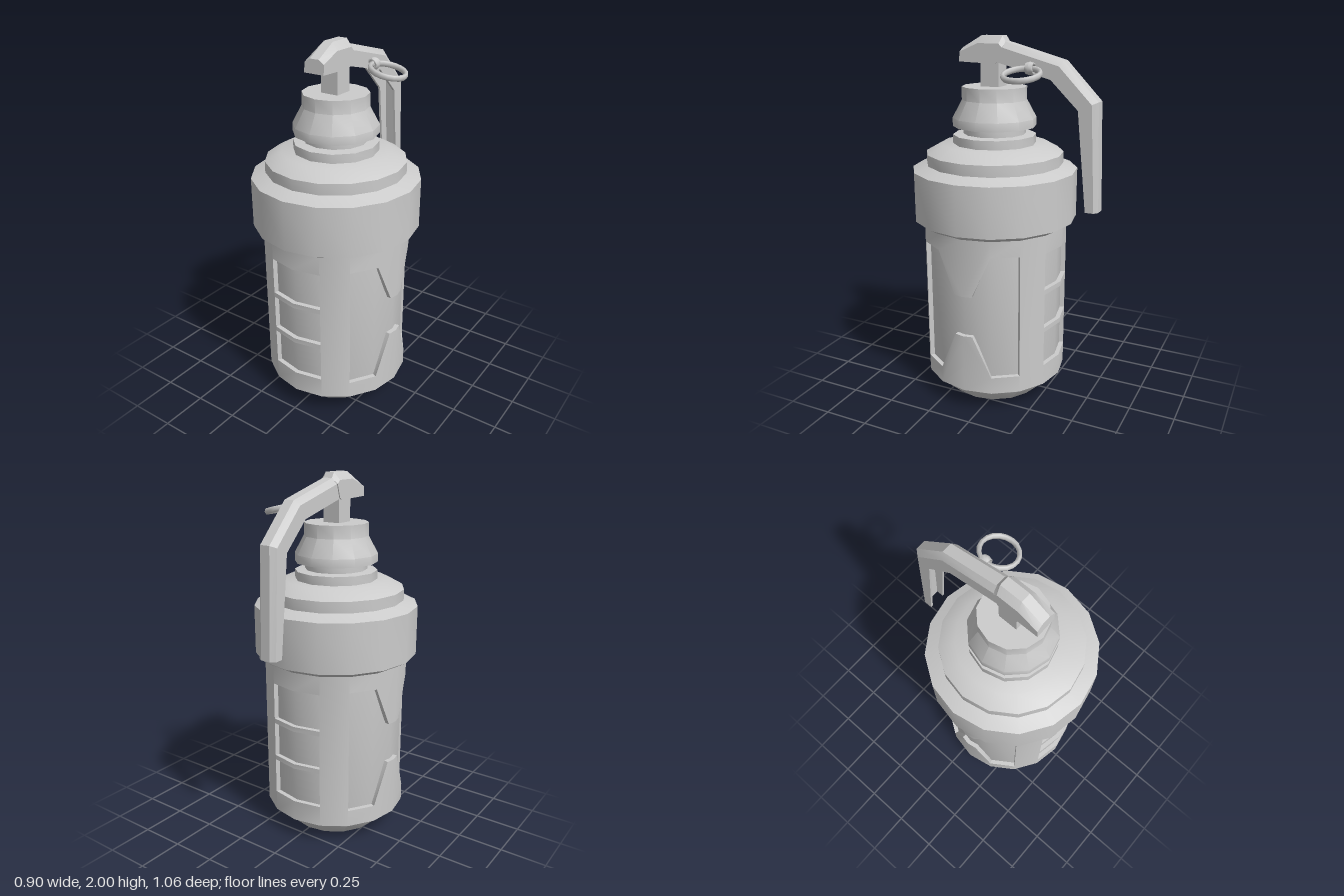
import * as THREE from 'three';
import { mergeGeometries, toCreasedNormals } from 'three/addons/utils/BufferGeometryUtils.js';

const SIDES = 16;
const STEP = (Math.PI * 2) / SIDES;
const AXIS_Z = 0.08;

const material = new THREE.MeshStandardMaterial({ color: 0xcccccc });

function addMesh(parent, name, geometry, crease = 0.62) {
  const mesh = new THREE.Mesh(crease ? toCreasedNormals(geometry, crease) : geometry, material);
  mesh.name = name;
  parent.add(mesh);
  return mesh;
}

function lathe(profile, sides) {
  return new THREE.LatheGeometry(profile.map(([r, y]) => new THREE.Vector2(r, y)), sides);
}

// Bends a flat panel (angle in facet units, height) onto one facet of the body
function wrapPanel(points, facet, inner, outer) {
  const shape = new THREE.Shape(points.map(([u, y]) => new THREE.Vector2(u, y)));
  const geometry = new THREE.ExtrudeGeometry(shape, { depth: 1, bevelEnabled: false });
  const pos = geometry.attributes.position;
  for (let i = 0; i < pos.count; i++) {
    const a = pos.getX(i) * STEP;
    const chord = Math.cos(STEP / 2) / Math.cos(a - (facet + 0.5) * STEP);
    const r = (inner + (outer - inner) * pos.getZ(i)) * chord;
    pos.setXYZ(i, r * Math.sin(a), pos.getY(i), r * Math.cos(a));
  }
  return geometry;
}

// Sleeve: three windows at front and back, a notched window on each side
function sleeveGeometry() {
  const low = 0.12, high = 1.0;
  const rect = (u, y0, y1) => [[u, y0], [u + 1, y0], [u + 1, y1], [u, y1]];
  const quarter = [
    ...[[low, 0.237], [0.44, 0.467], [0.662, 0.69], [0.897, high]].map(([a, b]) => rect(0, a, b)),
    rect(1, low, high),
    rect(2, low, 0.215), rect(2, 0.91, high),
    [[3, low], [4, low], [4, 0.45], [3.67, 0.45], [3, 0.215]],
    [[3, high], [4, high], [4, 0.68], [3.67, 0.68], [3, 0.91]],
  ];
  const parts = [];
  for (const panel of quarter) {
    const facet = Math.floor(panel[0][0]);
    for (const mirror of [1, -1]) {
      for (const back of [false, true]) {
        const place = u => mirror * (back ? 8 - u : u);
        const start = Math.min(place(facet), place(facet + 1));
        parts.push(wrapPanel(panel.map(([u, y]) => [place(u), y]), start, 0.365, 0.4));
      }
    }
  }
  return mergeGeometries(parts);
}

// Skins a section (x, t) along stations [zInner, yInner, zOuter, yOuter]; t runs inner to outer
function loft(section, stations) {
  const rings = stations.map(([z0, y0, z1, y1]) =>
    section.map(([x, t]) => [x, y0 + (y1 - y0) * t, z0 + (z1 - z0) * t]));
  const n = section.length;
  const out = [];
  for (let k = 0; k + 1 < rings.length; k++) {
    for (let i = 0; i < n; i++) {
      const j = (i + 1) % n;
      const [a, b, c, d] = [rings[k][i], rings[k][j], rings[k + 1][i], rings[k + 1][j]];
      out.push(...a, ...c, ...b, ...b, ...c, ...d);
    }
  }
  const last = rings[rings.length - 1];
  const flat = section.map(([x, t]) => new THREE.Vector2(x, t));
  for (const [i, j, k] of THREE.ShapeUtils.triangulateShape(flat, [])) {
    out.push(...rings[0][i], ...rings[0][j], ...rings[0][k]);
    out.push(...last[i], ...last[k], ...last[j]);
  }
  const geometry = new THREE.BufferGeometry();
  geometry.setAttribute('position', new THREE.Float32BufferAttribute(out, 3));
  return geometry;
}

export function createModel() {
  const model = new THREE.Group();
  model.name = 'leverCanister';

  const body = new THREE.Group();
  body.name = 'body';
  body.position.z = AXIS_Z;
  model.add(body);

  // Inner canister with chamfered base
  addMesh(body, 'innerCanister', lathe(
    [[0, 0], [0.265, 0], [0.37, 0.1], [0.375, 0.12], [0.375, 1.01]], SIDES));
  addMesh(body, 'windowedSleeve', sleeveGeometry());

  // Wide stepped collar
  addMesh(body, 'collar', lathe(
    [[0.3, 1.0], [0.4, 1.0], [0.452, 1.03], [0.452, 1.3], [0.375, 1.33],
      [0.375, 1.39], [0.29, 1.437], [0, 1.437]], SIDES));

  // Grooved neck and flared cap
  addMesh(body, 'neck', lathe(
    [[0.226, 1.43], [0.226, 1.485], [0.17, 1.49], [0.17, 1.528], [0.226, 1.53],
      [0.226, 1.575], [0.175, 1.67], [0.175, 1.74], [0, 1.74]], 12));

  // Stem carrying the lever
  const stem = addMesh(model, 'stem', new THREE.BoxGeometry(0.1, 0.18, 0.105), 0);
  stem.position.set(0, 1.81, 0.085);

  // Lever head: bevelled block
  addMesh(model, 'leverHead', loft(
    [[-0.058, 0], [0.058, 0], [0.058, 0.72], [0.026, 1], [-0.026, 1], [-0.058, 0.72]],
    [[0.26, 1.865, 0.255, 1.935], [0.17, 1.862, 0.14, 2.0],
      [0.05, 1.86, 0.02, 2.0], [0.03, 1.87, 0.0, 1.97]]), 0.4);

  // Lever arm: bent channel, open on the inner side
  addMesh(model, 'leverArm', loft(
    [[0.053, 0], [0.053, 0.72], [0.028, 1], [-0.028, 1], [-0.053, 0.72], [-0.053, 0],
      [-0.04, 0], [-0.04, 0.62], [0.04, 0.62], [0.04, 0]],
    [[0.05, 1.87, 0.015, 1.975], [-0.26, 1.79, -0.32, 1.885],
      [-0.41, 1.645, -0.51, 1.69], [-0.465, 1.12, -0.53, 1.12]]), 0.4);

  // Pull ring and the small link holding it
  const ring = addMesh(model, 'pullRing', new THREE.TorusGeometry(0.095, 0.012, 6, 18), 1.2);
  ring.rotation.set(Math.PI / 2, -0.24, 0);
  ring.scale.z = 1.4;
  ring.position.set(0.165, 1.822, -0.15);

  const link = addMesh(model, 'ringLink', new THREE.TorusGeometry(0.025, 0.009, 6, 12), 1.2);
  link.scale.z = 2.6;
  link.position.set(0.073, 1.845, -0.157);

  return model;
}
